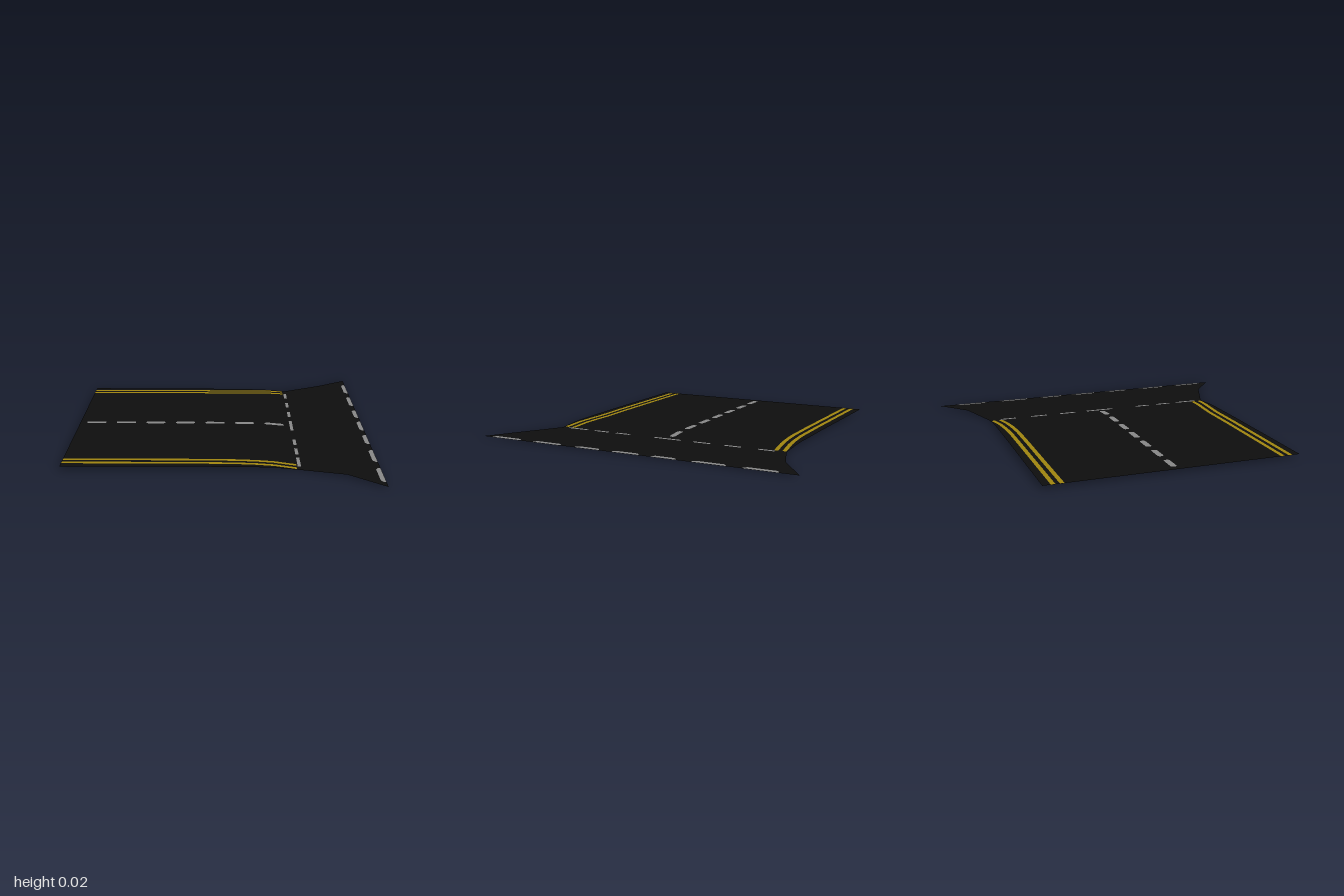
import * as THREE from 'three';

// Road height along x: level deck, ramp down to the junction, low crest, outer edge
const PROFILE = [[-0.888, 0.021], [-0.17, 0.021], [0.2, 0.018], [0.3, 0.015],
  [0.44, 0.002], [0.69, 0.014], [0.886, 0.008]];

function height(x) {
  for (let i = 1; i < PROFILE.length; i++) {
    const [x0, y0] = PROFILE[i - 1], [x1, y1] = PROFILE[i];
    if (x <= x1) return y0 + (y1 - y0) * (x - x0) / (x1 - x0);
  }
  return PROFILE[PROFILE.length - 1][1];
}

// Adds stations wherever the road profile bends, so every strip follows it
function refine(stations) {
  const out = [stations[0]];
  for (let i = 1; i < stations.length; i++) {
    const a = stations[i - 1], b = stations[i];
    for (const [x] of PROFILE) {
      if (x > a[0] + 1e-6 && x < b[0] - 1e-6) {
        const t = (x - a[0]) / (b[0] - a[0]);
        out.push(a.map((v, k) => v + (b[k] - v) * t));
      }
    }
    out.push(b);
  }
  return out;
}

// Sheet lofted through stations [x, zMin, zMax], draped on the profile
function drape(stations, lift) {
  const pos = [], index = [];
  refine(stations).forEach(([x, z0, z1], i) => {
    const y = height(x) + lift;
    pos.push(x, y, z0, x, y, z1);
    if (i > 0) {
      const a = 2 * i - 2;
      index.push(a, a + 1, a + 2, a + 1, a + 3, a + 2);
    }
  });
  const geo = new THREE.BufferGeometry();
  geo.setAttribute('position', new THREE.Float32BufferAttribute(pos, 3));
  geo.setIndex(index);
  geo.computeVertexNormals();
  return geo;
}

export function createModel() {
  const model = new THREE.Group();
  const make = (name, color) => new THREE.MeshStandardMaterial({ name, color, side: THREE.DoubleSide });
  const asphalt = make('asphalt', 0x0e0e0e);
  const yellow = make('yellow paint', 0xa1860f);
  const grey = make('grey paint', 0x888888);

  // Paint shows on both faces of the thin sheet
  function paint(name, stations, material) {
    const group = new THREE.Group();
    group.name = name;
    for (const lift of [0.001, -0.001]) {
      const mesh = new THREE.Mesh(drape(stations, lift), material);
      mesh.name = name + (lift > 0 ? 'Top' : 'Underside');
      group.add(mesh);
    }
    model.add(group);
  }

  // Road surface with flared junction mouth
  const road = new THREE.Mesh(drape([[-0.888, -0.757, 0.753], [-0.42, -0.755, 0.751],
    [0.44, -0.75, 0.748], [0.69, -0.847, 0.845], [0.886, -1, 1]], 0), asphalt);
  road.name = 'roadSurface';
  model.add(road);

  // Double yellow lines along both sides, bending outward at the junction
  const bend = [[-0.888, 0], [0.08, 0], [0.2, 0.008], [0.3, 0.018], [0.425, 0.033]];
  for (const side of [-1, 1]) {
    for (const z of [0.648, 0.697]) {
      const line = bend.map(([x, shift]) => {
        const c = side * (z + shift) - 0.002;
        return [x, c - 0.0125, c + 0.0125];
      });
      paint('yellowEdgeLine', line, yellow);
    }
  }

  // Centre line dashes with clipped corners
  for (let i = 0; i < 7; i++) {
    const x = -0.785 + i * 0.1865;
    paint('centreDash', [[x - 0.06, -0.012, 0.008], [x - 0.05, -0.02, 0.016],
      [x + 0.05, -0.02, 0.016], [x + 0.06, -0.012, 0.008]], grey);
  }

  // Give-way dashes across the junction
  const giveWay = [[-0.68, -0.58], [-0.475, -0.37], [-0.28, -0.17], [-0.09, 0.09],
    [0.26, 0.355], [0.41, 0.51], [0.56, 0.7]];
  for (const [z0, z1] of giveWay) {
    paint('giveWayDash', [[0.431, z0, z1], [0.45, z0, z1]], grey);
  }

  // Main road dashes on the outer edge, inner corners clipped
  const outer = [[-0.885, -0.685], [-0.59, -0.39], [-0.295, -0.14], [-0.065, 0.105],
    [0.19, 0.35], [0.45, 0.64], [0.735, 0.935]];
  for (const [z0, z1] of outer) {
    paint('outerDash', [[0.858, z0 + 0.02, z1 - 0.02], [0.872, z0, z1], [0.886, z0, z1]], grey);
  }

  return model;
}
